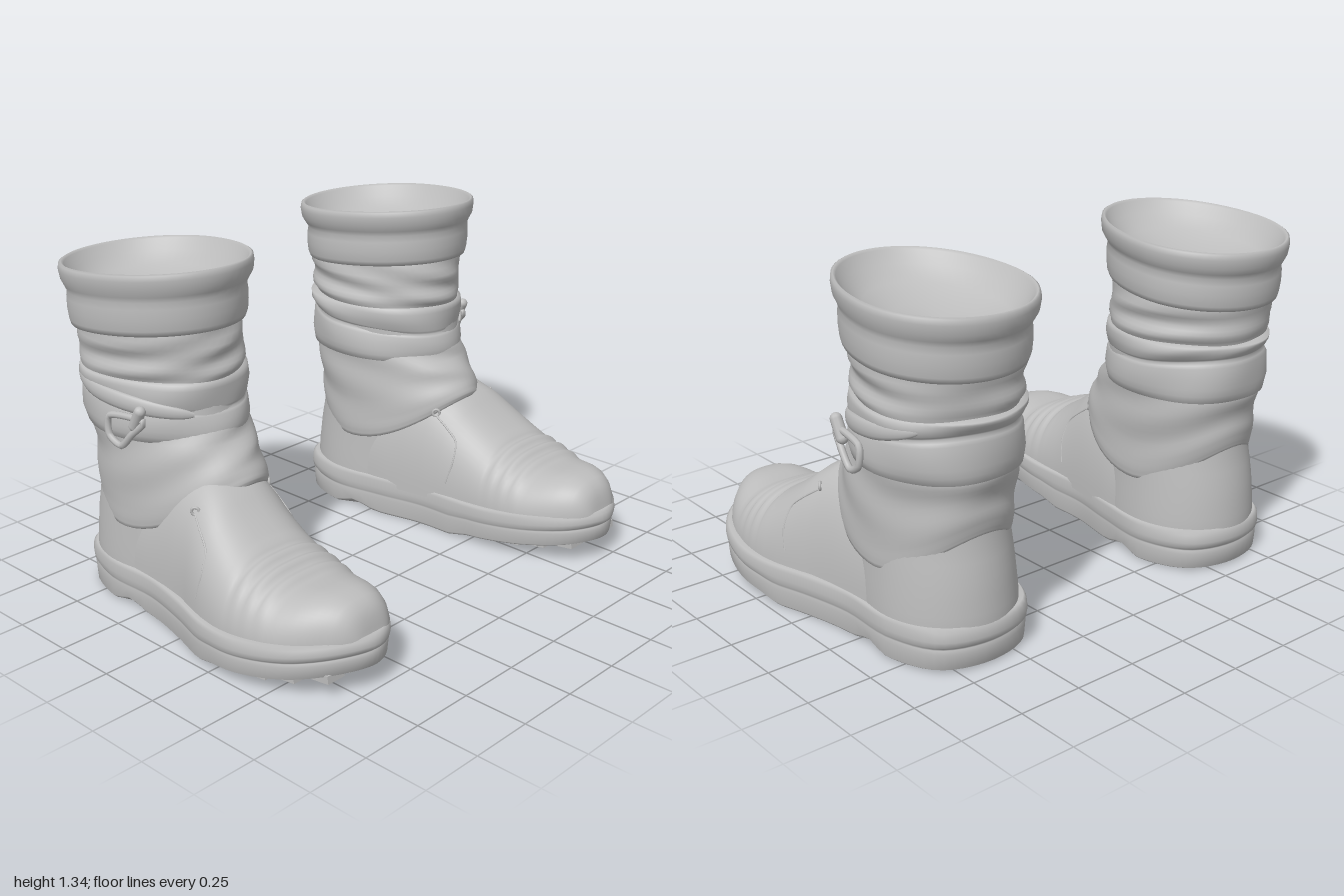
import * as THREE from 'three';

const V = (x, y, z) => new THREE.Vector3(x, y, z);
const clamp01 = (t) => Math.min(1, Math.max(0, t));

// Skin a list of point rings; closed rings share their seam vertex
function loft(rings, closed = true) {
  const n = rings[0].length, pos = [], idx = [];
  rings.forEach((r) => r.forEach((p) => pos.push(p.x, p.y, p.z)));
  for (let i = 0; i < rings.length - 1; i++) {
    for (let j = 0; j < (closed ? n : n - 1); j++) {
      const a = i * n + j, b = i * n + (j + 1) % n;
      idx.push(a, b, a + n, b, b + n, a + n);
    }
  }
  const g = new THREE.BufferGeometry();
  g.setAttribute('position', new THREE.Float32BufferAttribute(pos, 3));
  g.setIndex(idx);
  g.computeVertexNormals();
  return g;
}

// Linear subdivision of section tables
function refine(rows, k) {
  const out = [];
  for (let i = 0; i < rows.length - 1; i++) {
    for (let s = 0; s < k; s++) {
      out.push(rows[i].map((v, c) => v + (rows[i + 1][c] - v) * s / k));
    }
  }
  out.push(rows[rows.length - 1]);
  return out;
}

// Egg-shaped section, theta 0 at the front; row = [y, xMin, xMax, zMin, zMax, dip]
function egg([y, x0, x1, z0, z1], a) {
  const zm = z0 + 0.44 * (z1 - z0), c = Math.cos(a);
  return V((x0 + x1) / 2 + (x1 - x0) / 2 * Math.sin(a), y, zm + (c > 0 ? z1 - zm : zm - z0) * c);
}

function eggLoft(rows, shift, wrinkle = () => 0, n = 56) {
  return loft(rows.map((row) => Array.from({ length: n }, (_, j) => {
    const a = j / n * Math.PI * 2, p = egg(row, a), w = wrinkle(a, row[0]);
    p.x += Math.sin(a) * w;
    p.z += Math.cos(a) * w;
    p.y += shift(a, row[5] || 0, p.z);
    return p;
  })));
}

// Underside and top line of the sole, with toe spring
const ground = (z) => 0.07 * Math.pow(clamp01((z - 0.15) / 0.6), 1.3);
const soleBottom = (z) => ground(z) + 0.018 * clamp01((z - 0.15) / 0.1);
const soleTop = (z) => 0.165 + 0.05 * Math.pow(clamp01((z - 0.2) / 0.55), 1.5);

const OUTLINE = new THREE.CatmullRomCurve3([
  [0.61, -0.7], [0.42, -0.64], [0.335, -0.45], [0.365, -0.2], [0.405, 0], [0.41, 0.18],
  [0.415, 0.35], [0.46, 0.55], [0.55, 0.7], [0.67, 0.76], [0.8, 0.71], [0.93, 0.58],
  [0.995, 0.38], [0.985, 0.2], [0.93, 0], [0.89, -0.2], [0.885, -0.45], [0.8, -0.64],
].map(([x, z]) => V(x, 0, z)), true).getPoints(96).slice(0, 96);

function soleGeometry() {
  const rows = [[0.01, 0], [0.35, 0], [0.7, 0], [0.95, 0], [0.98, 0.06], [0.988, 0.42], [0.975, 0.5],
    [0.978, 0.54], [0.995, 0.6], [1, 0.72], [0.995, 0.92], [0.975, 1], [0.8, 1]];
  return loft(rows.map(([s, f]) => OUTLINE.map((p) => {
    const z = 0.03 + (p.z - 0.03) * s, b = soleBottom(z);
    const waist = s > 0.9 && f < 0.1 ? 0.03 * clamp01(1 - Math.abs(z + 0.32) / 0.1) : 0;
    return V(0.64 + (p.x - 0.64) * s, b + (soleTop(z) - b) * f + waist, z);
  })));
}

// Foot arches from inside the ankle to the toe: [z, top, xMin, xMax]
const FOOT = [[-0.42, 0.56, 0.362, 0.866], [-0.22, 0.58, 0.37, 0.876], [-0.1, 0.6, 0.386, 0.888],
  [0, 0.585, 0.402, 0.905], [0.08, 0.543, 0.415, 0.93],
  [0.16, 0.48, 0.425, 0.952], [0.24, 0.425, 0.43, 0.965], [0.28, 0.402, 0.432, 0.968],
  [0.3, 0.384, 0.433, 0.968], [0.33, 0.391, 0.434, 0.968], [0.355, 0.366, 0.436, 0.966],
  [0.385, 0.374, 0.438, 0.963], [0.41, 0.348, 0.441, 0.959], [0.44, 0.353, 0.445, 0.953],
  [0.47, 0.329, 0.45, 0.947], [0.52, 0.331, 0.463, 0.93], [0.57, 0.336, 0.48, 0.907],
  [0.62, 0.335, 0.5, 0.875], [0.67, 0.322, 0.53, 0.832], [0.7, 0.298, 0.555, 0.8],
  [0.72, 0.262, 0.58, 0.77], [0.735, 0.2, 0.61, 0.735]];
const P = 0.75, Q = 0.9;
const footBase = (z) => soleTop(z) - 0.03;

function footGeometry() {
  return loft(refine(FOOT, 2).map(([z, top, x0, x1]) => Array.from({ length: 33 }, (_, j) => {
    const a = j / 32 * Math.PI, c = Math.cos(a), b = footBase(z);
    return V((x0 + x1) / 2 + (x1 - x0) / 2 * Math.sign(c) * Math.pow(Math.abs(c), P),
      b + (top - b) * Math.pow(Math.max(0, Math.sin(a)), Q), z);
  })), false);
}

// Point on the foot surface at a given z and y, side = +1 outer or -1 inner
function onFoot(z, y, side) {
  const i = Math.max(0, FOOT.findIndex((r) => r[0] > z) - 1), A = FOOT[i], B = FOOT[i + 1];
  const t = (z - A[0]) / (B[0] - A[0]);
  const [, top, x0, x1] = A.map((v, c) => v + (B[c] - v) * t);
  const s = Math.pow(clamp01((y - footBase(z)) / (top - footBase(z))), 1 / Q);
  return V((x0 + x1) / 2 + side * (x1 - x0) / 2 * Math.pow(1 - s * s, P / 2), y, z);
}

const tube = (pts, r, closed = false) =>
  new THREE.TubeGeometry(new THREE.CatmullRomCurve3(pts, closed, 'catmullrom', 0.4), 32, r, 8, closed);

// Flat strap lying on an egg section, tapering at both ends
function strapGeometry(row, a0, a1, y0, y1, halfWidth) {
  return loft(Array.from({ length: 25 }, (_, i) => {
    const t = i / 24, a = a0 + (a1 - a0) * t, c = egg(row, a);
    const taper = Math.pow(Math.sin(Math.PI * (0.01 + 0.98 * t)), 0.4);
    return Array.from({ length: 12 }, (_, j) => {
      const b = -j / 12 * Math.PI * 2, out = 0.016 * taper * Math.cos(b);
      return V(c.x + Math.sin(a) * out, y0 + (y1 - y0) * t + halfWidth * taper * Math.sin(b), c.z + Math.cos(a) * out);
    });
  }));
}

function bootParts() {
  const parts = [];
  const add = (name, geo) => parts.push([name, geo]);
  const front = (a) => (1 - Math.cos(a)) / 2;

  add('sole', soleGeometry());

  // Tread lugs under the forefoot
  for (let r = 0; r < 5; r++) {
    const z = 0.22 + r * 0.105;
    const xs = OUTLINE.filter((p) => Math.abs(p.z - z - 0.03) < 0.045).map((p) => p.x);
    const x0 = Math.min(...xs) + 0.04, w = Math.max(...xs) - 0.04 - x0;
    const cols = r === 4 ? 3 : 4;
    for (let c = 0; c < cols; c++) {
      const g = new THREE.BoxGeometry(w / cols - 0.025, 0.03, 0.08);
      g.rotateX(-Math.atan((ground(z + 0.04) - ground(z - 0.04)) / 0.08));
      g.translate(x0 + (c + 0.5) * w / cols, ground(z) + 0.016, z);
      add('treadLug', g);
    }
  }

  add('foot', footGeometry());

  // Heel quarter below the slouched shaft
  add('heelQuarter', eggLoft(refine([[0.13, 0.35, 0.88, -0.69, -0.02], [0.2, 0.352, 0.88, -0.688, -0.02],
    [0.32, 0.36, 0.874, -0.675, -0.02], [0.45, 0.367, 0.866, -0.65, -0.02], [0.56, 0.38, 0.86, -0.64, -0.02]], 2), () => 0));

  // Slouched shaft with a dipping lower edge
  add('shaft', eggLoft(refine([
    [0.55, 0.38, 0.86, -0.64, 0.045, 1], [0.54, 0.356, 0.878, -0.655, 0.083, 1],
    [0.56, 0.35, 0.882, -0.662, 0.085, 0.9], [0.59, 0.348, 0.884, -0.666, 0.072, 0.75],
    [0.62, 0.35, 0.882, -0.667, 0.05, 0.55],
    [0.66, 0.345, 0.88, -0.675, 0.025, 0.3], [0.7, 0.345, 0.882, -0.685, -0.01, 0.1],
    [0.76, 0.35, 0.875, -0.685, -0.035, 0], [0.9, 0.35, 0.885, -0.69, -0.06, 0],
    [0.945, 0.333, 0.9, -0.71, -0.045, 0], [0.99, 0.347, 0.89, -0.7, -0.06, 0],
    [1.04, 0.337, 0.902, -0.715, -0.055, 0], [1.12, 0.347, 0.9, -0.7, -0.07, 0]], 3),
  (a, d) => -d * (0.18 * Math.sin(a) ** 2 + 0.06 * front(a)),
  (a, y) => 0.009 * Math.sin(3 * a + 26 * y) * Math.sin(38 * y + 2 * Math.sin(a)) * clamp01((y - 0.54) / 0.1)));

  // Two wrapped ankle bands divided by a slanting groove
  add('ankleBands', eggLoft(refine([
    [0.68, 0.37, 0.86, -0.67, -0.06, 0], [0.69, 0.338, 0.89, -0.695, -0.03, 0],
    [0.735, 0.328, 0.902, -0.705, -0.025, 0.2], [0.785, 0.333, 0.897, -0.702, -0.037, 0.8],
    [0.8, 0.347, 0.883, -0.69, -0.05, 1], [0.815, 0.333, 0.897, -0.703, -0.045, 1],
    [0.865, 0.322, 0.906, -0.715, -0.04, 0.5], [0.912, 0.33, 0.9, -0.718, -0.042, 0],
    [0.922, 0.37, 0.86, -0.67, -0.08, 0]], 2), (a, d) => d * 0.06 * front(a),
  (a, y) => 0.004 * Math.sin(5 * a + 20 * y)));

  // Folded cuff, thin rolled rim and shallow lining, tilted down to the back
  add('cuff', eggLoft([[1.08, 0.37, 0.88, -0.68, -0.1], [1.08, 0.327, 0.922, -0.727, -0.035],
    [1.1, 0.318, 0.928, -0.733, -0.028], [1.14, 0.315, 0.932, -0.738, -0.024],
    [1.18, 0.316, 0.932, -0.738, -0.024], [1.205, 0.321, 0.929, -0.735, -0.026],
    [1.225, 0.31, 0.936, -0.747, -0.018], [1.25, 0.296, 0.947, -0.76, -0.003],
    [1.285, 0.29, 0.953, -0.765, 0], [1.305, 0.294, 0.95, -0.762, -0.002],
    [1.31, 0.302, 0.942, -0.754, -0.01], [1.302, 0.312, 0.932, -0.744, -0.02],
    [1.26, 0.338, 0.905, -0.715, -0.05], [1.215, 0.39, 0.855, -0.66, -0.12],
    [1.18, 0.48, 0.765, -0.55, -0.24], [1.17, 0.619, 0.621, -0.401, -0.399]],
  (a, d, z) => 0.08 * (z + 0.38)));

  // Diagonal strap on the outer side
  add('diagonalStrap', strapGeometry([0, 0.33, 0.9, -0.71, -0.04], 0.45, 2.2, 0.8, 0.88, 0.034));

  // Buckle loop and toggle
  add('buckleLoop', tube([V(0.89, 0.79, -0.18), V(0.905, 0.73, -0.23), V(0.91, 0.675, -0.285),
    V(0.915, 0.705, -0.345), V(0.91, 0.78, -0.34)], 0.013, true));
  const toggle = new THREE.CapsuleGeometry(0.022, 0.07, 4, 10);
  toggle.rotateX(0.5);
  toggle.translate(0.895, 0.795, -0.205);
  add('buckleToggle', toggle);

  // Quarter seam and eyelet on both sides of the instep
  for (const side of [1, -1]) {
    add('quarterSeam', tube([[0.03, 0.475], [0.08, 0.44], [0.135, 0.39], [0.145, 0.31], [0.125, 0.22]]
      .map(([z, y]) => onFoot(z, y, side).add(V(-side * 0.001, 0, 0))), 0.004));
    const eyelet = new THREE.TorusGeometry(0.014, 0.006, 6, 14);
    eyelet.rotateY(side * 0.9);
    const p = onFoot(0.02, 0.49, side);
    eyelet.translate(p.x + side * 0.004, p.y, p.z + 0.004);
    add('eyelet', eyelet);
  }
  return parts;
}

// Mirror a geometry across x and restore its winding
function mirrored(geo) {
  const g = geo.clone().scale(-1, 1, 1), ix = g.index;
  for (let i = 0; i < ix.count; i += 3) {
    const b = ix.getX(i + 1);
    ix.setX(i + 1, ix.getX(i + 2));
    ix.setX(i + 2, b);
  }
  return g;
}

export function createModel() {
  const model = new THREE.Group();
  model.name = 'boots';
  const grey = new THREE.MeshStandardMaterial({ color: 0xbdbdbd });
  grey.name = 'grey leather';
  const parts = bootParts();
  for (const side of ['left', 'right']) {
    const boot = new THREE.Group();
    boot.name = side + 'Boot';
    for (const [name, geo] of parts) {
      const mesh = new THREE.Mesh(side === 'left' ? geo : mirrored(geo), grey);
      mesh.name = name;
      boot.add(mesh);
    }
    model.add(boot);
  }
  return model;
}
